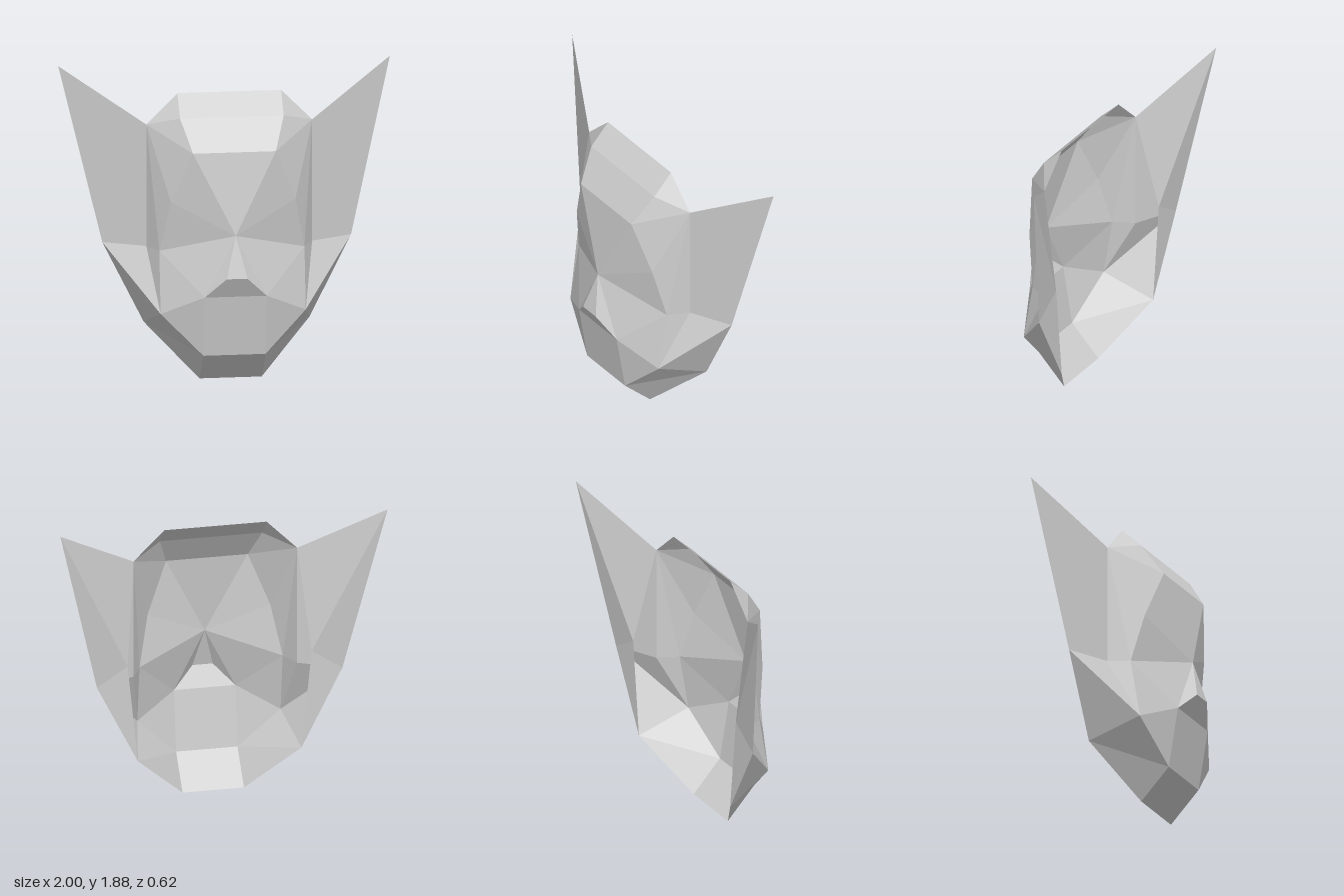
import * as THREE from 'three';

// Corner points of the left (+x) half; a trailing "_" means the mirrored point.
const P = {
  crown: [0.3125, 1.75, -0.0625],
  hairline: [0.3125, 1.625, 0.0625],
  brow: [0.25, 1.4375, 0.1875],
  temple: [0.5, 1.5625, -0.0625],
  socket: [0.375, 1.125, 0.125],
  bridge: [0, 0.9375, 0.25],
  cheek: [0.4375, 0.8125, 0.0625],
  side: [0.5, 0.8125, -0.0625],
  noseTip: [0.0625, 0.6875, 0.3125],
  noseBase: [0.1875, 0.5625, 0.25],
  jaw: [0.4375, 0.4375, 0.125],
  chin: [0.1875, 0.1875, 0.1875],
  chinBase: [0.1875, 0, 0],
  jawCorner: [0.5, 0.3125, -0.1875],
  earLobe: [0.75, 0.8125, -0.1875],
  earTip: [1, 1.875, -0.3125],
  earBack: [0.5625, 0.9375, -0.1875],
};

// Faces that span the centre line
const CENTRE = {
  forehead: ['crown crown_ hairline_ hairline', 'hairline hairline_ brow_ brow', 'brow brow_ bridge'],
  noseFront: ['bridge noseTip_ noseTip', 'noseTip noseTip_ noseBase_ noseBase'],
  mouth: ['noseBase noseBase_ chin_ chin'],
  chin: ['chin chin_ chinBase_ chinBase'],
};

// Faces built once per side
const SIDES = {
  Temple: ['temple crown hairline', 'temple hairline brow', 'brow socket temple', 'socket cheek temple', 'cheek side temple'],
  Eye: ['bridge socket brow', 'bridge cheek socket'],
  Nostril: ['bridge noseTip noseBase'],
  Cheek: ['bridge noseBase cheek', 'noseBase jaw cheek', 'noseBase chin jaw', 'cheek jaw side'],
  Jaw: ['chin jawCorner jaw', 'jaw jawCorner earLobe', 'chin chinBase jawCorner'],
  EarFront: ['jaw earLobe side', 'side earLobe earTip temple'],
  EarBack: ['temple earTip earBack', 'earTip earLobe earBack', 'earBack earLobe jawCorner'],
};

// Flat facets from named corners; mirrored facets reverse their winding
function facets(faces, mirror) {
  const pos = [];
  for (const face of faces) {
    const pts = face.split(' ').map((name) => {
      const [x, y, z] = P[name.replace('_', '')];
      return [name.endsWith('_') !== mirror ? -x : x, y, z];
    });
    if (mirror) pts.reverse();
    for (let i = 1; i < pts.length - 1; i++) pos.push(...pts[0], ...pts[i], ...pts[i + 1]);
  }
  const geo = new THREE.BufferGeometry();
  geo.setAttribute('position', new THREE.Float32BufferAttribute(pos, 3));
  geo.computeVertexNormals();
  return geo;
}

export function createModel() {
  const group = new THREE.Group();
  group.name = 'mask';
  const grey = new THREE.MeshStandardMaterial({ color: 0xcccccc, side: THREE.DoubleSide, flatShading: true });
  grey.name = 'light grey';

  const add = (name, faces, mirror) => {
    const mesh = new THREE.Mesh(facets(faces, mirror), grey);
    mesh.name = name;
    group.add(mesh);
  };

  for (const [name, faces] of Object.entries(CENTRE)) add(name, faces, false);
  for (const [name, faces] of Object.entries(SIDES)) {
    add('left' + name, faces, false);
    add('right' + name, faces, true);
  }
  return group;
}
